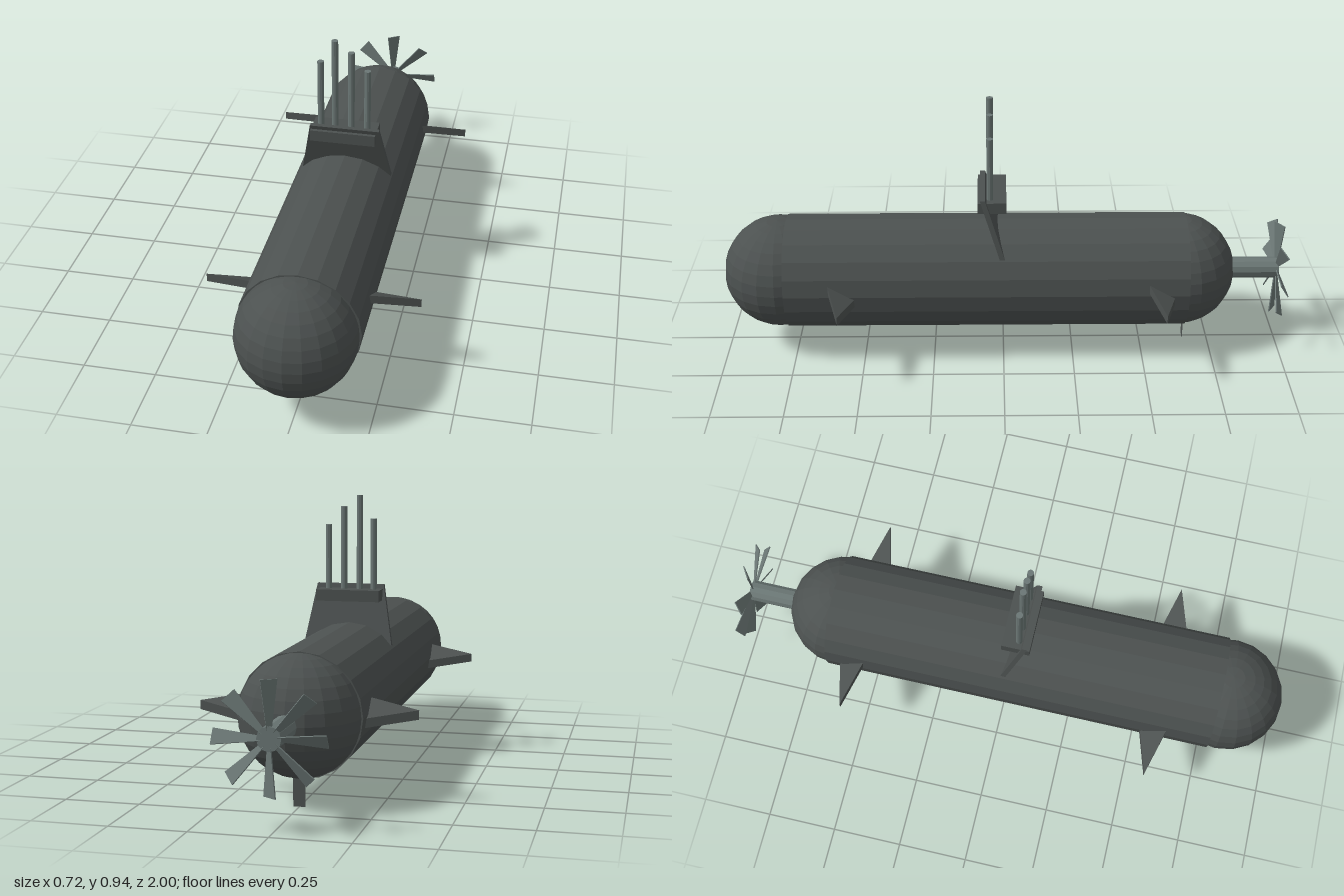
import * as THREE from 'three';

const AXIS_Y = 0.289; // height of the hull centre line

export function createModel() {
  const root = new THREE.Group();
  root.name = 'submarine';

  const hullGrey = new THREE.MeshStandardMaterial({ color: 0x4c5150, flatShading: true });
  hullGrey.name = 'hull grey';
  const metal = new THREE.MeshStandardMaterial({ color: 0x6b7775, flatShading: true });
  metal.name = 'bare metal';
  const plate = new THREE.MeshStandardMaterial({ color: 0x4c5150, flatShading: true, side: THREE.DoubleSide });
  plate.name = 'thin plate grey';

  function add(name, geometry, material, x = 0, y = 0, z = 0, parent = root) {
    const mesh = new THREE.Mesh(geometry, material);
    mesh.name = name;
    mesh.position.set(x, y, z);
    parent.add(mesh);
    return mesh;
  }

  // Pressure hull: a cylinder with slightly smaller domes in its ends
  add('hull', new THREE.CylinderGeometry(0.203, 0.203, 1.42, 20).rotateX(Math.PI / 2), hullGrey, 0, AXIS_Y, 0.06);
  add('noseDome', new THREE.SphereGeometry(0.2, 20, 16), hullGrey, 0, AXIS_Y, 0.8);
  add('sternDome', new THREE.SphereGeometry(0.2, 20, 16), hullGrey, 0, AXIS_Y, -0.63);

  // Diving planes: triangular wedges, sheared so the front edge is higher
  for (const z of [0.567, -0.553]) {
    for (const side of [1, -1]) {
      const tri = new THREE.Shape();
      tri.moveTo(0.15 * side, 0.059);
      tri.lineTo(0.36 * side, 0);
      tri.lineTo(0.15 * side, -0.059);
      const geo = new THREE.ExtrudeGeometry(tri, { depth: 0.03, bevelEnabled: false });
      geo.translate(0, 0, -0.015).rotateX(Math.PI / 2);
      const p = geo.attributes.position;
      for (let i = 0; i < p.count; i++) p.setY(i, p.getY(i) + p.getZ(i) * 0.55);
      geo.computeVertexNormals();
      add((z > 0 ? 'front' : 'rear') + (side > 0 ? 'Left' : 'Right') + 'DivingPlane', geo, hullGrey, 0, AXIS_Y, z);
    }
  }

  // Keel fin: a flat plate under the stern
  add('keelFin', new THREE.PlaneGeometry(0.04, 0.14), plate, 0, 0.07, -0.66);

  // Sail: a tapered slab that leans forward
  const sail = new THREE.BoxGeometry(1, 1, 0.018);
  const sp = sail.attributes.position;
  for (let i = 0; i < sp.count; i++) {
    const top = sp.getY(i) > 0;
    const half = top ? 0.121 : 0.169;
    sp.setXYZ(i, Math.sign(sp.getX(i)) * half + (top ? 0.006 : 0), top ? 0.625 : 0.36,
      sp.getZ(i) + (top ? 0.073 : -0.012));
  }
  sail.computeVertexNormals();
  add('sail', sail, hullGrey);

  // Platform on the sail, with four masts
  add('mastPlatform', new THREE.BoxGeometry(0.228, 0.04, 0.1), hullGrey, 0.001, 0.59, 0.04);
  const masts = [[-0.082, 0.86], [-0.032, 0.942], [0.025, 0.902], [0.081, 0.838]];
  masts.forEach(([x, top], i) => {
    const h = top - 0.59;
    add('mast' + (i + 1), new THREE.CylinderGeometry(0.0115, 0.0115, h, 12), metal, x, 0.59 + h / 2, 0.047);
  });

  // Propeller shaft and eight pitched blades that widen outward
  add('propellerShaft', new THREE.CylinderGeometry(0.038, 0.038, 0.22, 12).rotateX(Math.PI / 2), metal, 0, AXIS_Y, -0.88);
  const propeller = new THREE.Group();
  propeller.name = 'propeller';
  propeller.position.set(0, AXIS_Y, -0.985);
  root.add(propeller);
  for (let i = 0; i < 8; i++) {
    const blade = new THREE.BoxGeometry(0.052, 0.15, 0.004);
    const bp = blade.attributes.position;
    for (let k = 0; k < bp.count; k++) if (bp.getY(k) < 0) bp.setX(k, bp.getX(k) * 0.3);
    blade.rotateY(0.57).translate(0, 0.1, 0).rotateZ((i * Math.PI) / 4);
    blade.computeVertexNormals();
    add('blade' + (i + 1), blade, metal, 0, 0, 0, propeller);
  }

  return root;
}
